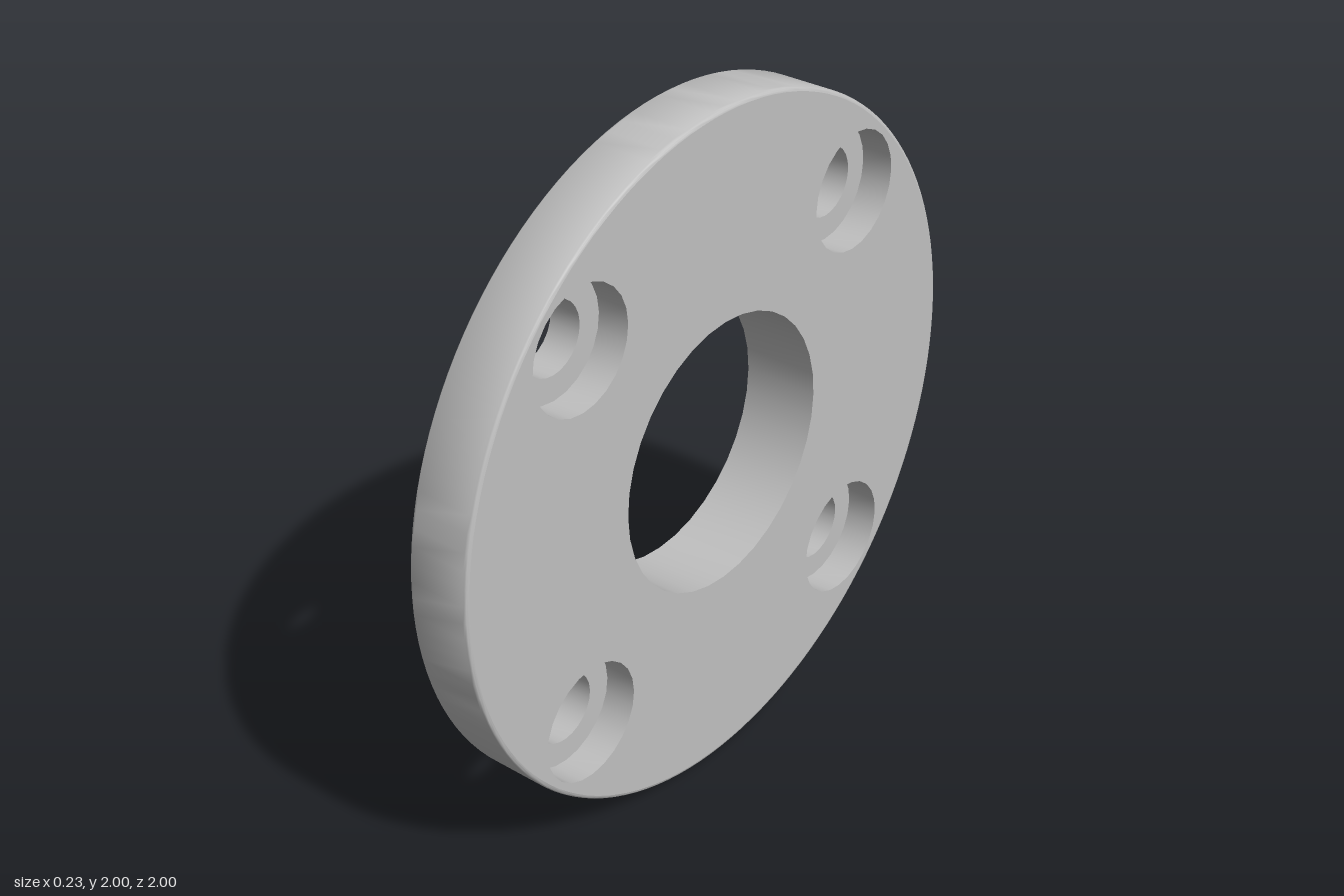
import * as THREE from 'three';
import { toCreasedNormals } from 'three/addons/utils/BufferGeometryUtils.js';

// Stations along the x axis
const FRONT = 0.114, SEAT = 0.02, BACK = -0.075, BOSS = -0.114;
// Radii
const RIM = 1, BORE = 0.4, BOSS_R = 0.5, HOLE = 0.102, COUNTERBORE = 0.174;
const FILLET = 0.012, OFFSET = 0.562;
const RIM_SEG = 128, BORE_SEG = 36, HOLE_SEG = 24;

export function createModel() {
  const group = new THREE.Group();
  group.name = 'flange';
  const metal = new THREE.MeshStandardMaterial({ color: 0xc0c0c0 });
  metal.name = 'grey metal';

  const add = (name, geometry, y = 1, z = 0) => {
    const mesh = new THREE.Mesh(geometry, metal);
    mesh.name = name;
    mesh.position.set(0, y, z);
    group.add(mesh);
  };

  // Surface turned about the x axis from [radius, x] points
  const turned = (profile, segments) => {
    const points = profile.map(([r, x]) => new THREE.Vector2(r, x));
    return toCreasedNormals(new THREE.LatheGeometry(points, segments).rotateZ(-Math.PI / 2), 0.7);
  };

  const circle = (r, segments, cx = 0, cy = 0) => Array.from({ length: segments }, (_, i) => {
    const a = (i / segments) * Math.PI * 2;
    return new THREE.Vector2(cx + r * Math.cos(a), cy + r * Math.sin(a));
  });

  const corners = [[1, 1], [-1, 1], [-1, -1], [1, -1]].map(([a, b]) => [a * OFFSET, b * OFFSET]);

  // Flat ring with a centre opening and four bolt openings, facing +x or -x
  const face = (x, side, inner, innerSeg, boltRadius) => {
    const shape = new THREE.Shape(circle(RIM - FILLET, RIM_SEG));
    shape.holes.push(new THREE.Path(circle(inner, innerSeg)));
    for (const [a, b] of corners) shape.holes.push(new THREE.Path(circle(boltRadius, HOLE_SEG, a, b)));
    return new THREE.ShapeGeometry(shape).rotateY(side * Math.PI / 2).translate(x, 0, 0);
  };

  add('frontFace', face(FRONT, 1, BORE, BORE_SEG, COUNTERBORE));
  add('backFace', face(BACK, -1, BOSS_R, RIM_SEG, HOLE));

  // Outer rim with small rounded edges
  const rim = [];
  for (let i = 0; i <= 4; i++) {
    const a = (i / 4 - 1) * Math.PI / 2;
    rim.push([RIM - FILLET + FILLET * Math.cos(a), BACK + FILLET + FILLET * Math.sin(a)]);
  }
  for (let i = 0; i <= 4; i++) {
    const a = (i / 4) * Math.PI / 2;
    rim.push([RIM - FILLET + FILLET * Math.cos(a), FRONT - FILLET + FILLET * Math.sin(a)]);
  }
  add('rim', turned(rim, RIM_SEG));

  // Centre bore and the raised locating boss on the back
  add('bore', turned([[BORE, FRONT], [BORE, BOSS]], BORE_SEG));
  add('bossWall', turned([[BOSS_R, BOSS], [BOSS_R, BACK]], RIM_SEG));
  const bossRing = new THREE.Shape(circle(BOSS_R, RIM_SEG));
  bossRing.holes.push(new THREE.Path(circle(BORE, BORE_SEG)));
  add('bossFace', new THREE.ShapeGeometry(bossRing).rotateY(-Math.PI / 2).translate(BOSS, 0, 0));

  // Counterbored bolt holes
  const boltHole = turned([
    [COUNTERBORE, FRONT], [COUNTERBORE, SEAT], [HOLE, SEAT], [HOLE, BACK],
  ], HOLE_SEG);
  for (const [z, y] of corners) add('boltHole', boltHole, 1 + y, z);

  return group;
}
